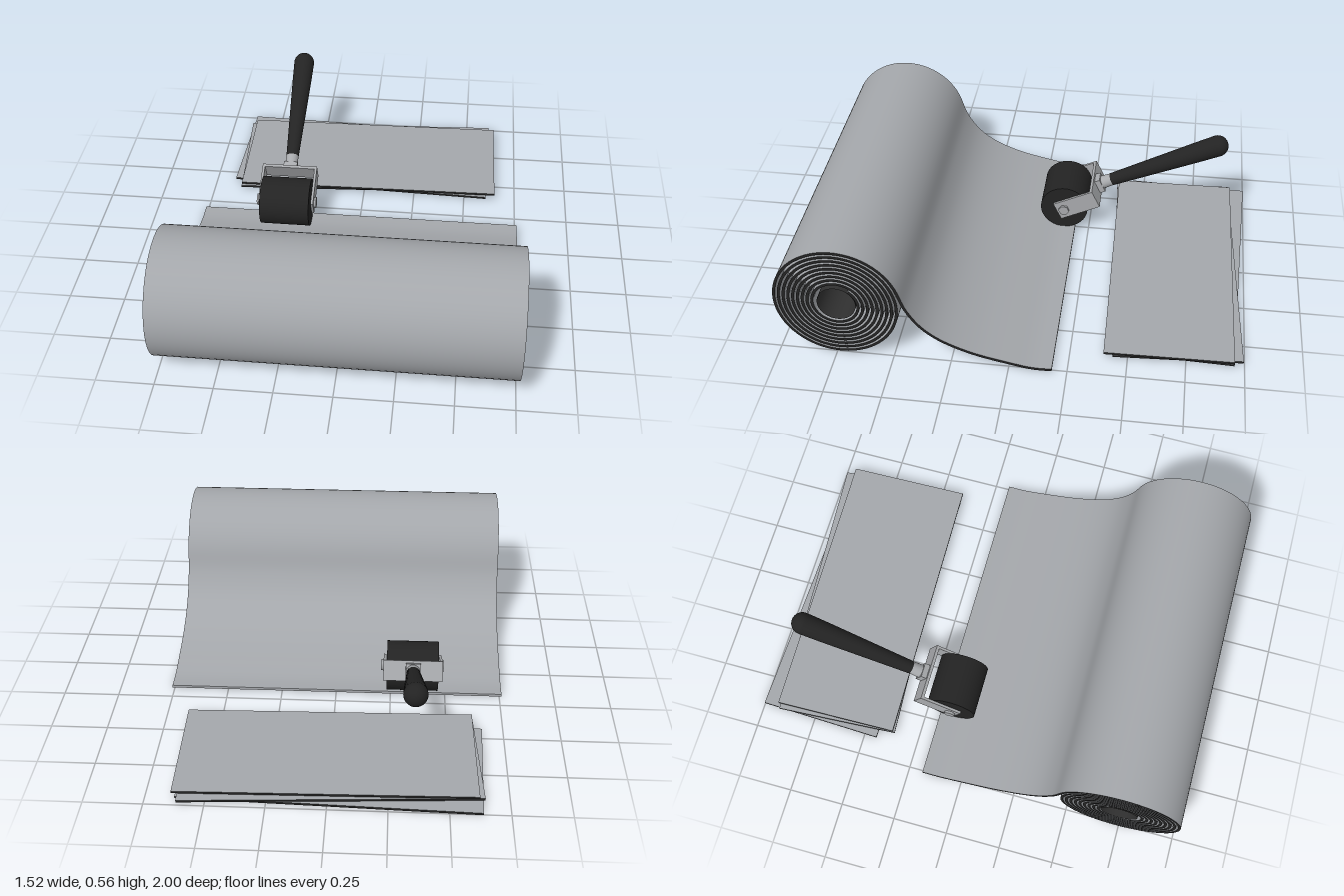
import * as THREE from 'three';
import { toCreasedNormals } from 'three/addons/utils/BufferGeometryUtils.js';

const material = (name, color, extra = {}) => {
  const m = new THREE.MeshStandardMaterial({ color, ...extra });
  m.name = name;
  return m;
};

export function createModel() {
  const grey = material('sheet grey', 0xa4a7ab);
  const dark = material('sheet backing', 0x242424);
  const lining = material('roll lining', 0x303030, { side: THREE.DoubleSide });
  const metal = material('tool metal', 0xa8aaad);
  const rubber = material('black rubber', 0x232323);

  const model = new THREE.Group();
  model.name = 'membraneRollAndTool';

  const add = (parent, name, geometry, mat, x = 0, y = 0, z = 0) => {
    const mesh = new THREE.Mesh(geometry, mat);
    mesh.name = name;
    mesh.position.set(x, y, z);
    parent.add(mesh);
    return mesh;
  };

  // Rolled sheet: spiral centre line running out into a flat tail
  const WIDTH = 1.52, THICK = 0.012, TURNS = 9.1, PITCH = 0.0205, STEPS = 64;
  const centre = new THREE.Vector2(-0.728, 0.28);
  const path = [];
  const count = Math.round(TURNS * STEPS);
  for (let i = count; i >= 0; i--) {
    const turn = i / STEPS;
    const a = 0.3 + turn * Math.PI * 2;
    const r = 0.277 - PITCH * turn;
    path.push(new THREE.Vector2(centre.x + r * Math.cos(a), centre.y + r * Math.sin(a)));
  }
  const tail = new THREE.SplineCurve([
    path[path.length - 1].clone(),
    ...[[-0.432, 0.275], [-0.37, 0.185], [-0.28, 0.117], [-0.15, 0.063],
      [0, 0.027], [0.1, 0.009], [0.185, 0.009]].map(p => new THREE.Vector2(...p)),
  ]);
  path.push(...tail.getSpacedPoints(40).slice(1));

  // Offset the line to both sides for the sheet's thickness
  const offset = side => path.map((p, i) => {
    const t = path[Math.min(i + 1, path.length - 1)].clone().sub(path[Math.max(i - 1, 0)]).normalize();
    return new THREE.Vector2(p.x - t.y * side * THICK / 2, p.y + t.x * side * THICK / 2);
  });
  const outline = new THREE.Shape([...offset(-1), ...offset(1).reverse()]);
  const rollGeometry = toCreasedNormals(
    new THREE.ExtrudeGeometry(outline, { depth: WIDTH, bevelEnabled: false }), 0.7);
  rollGeometry.rotateY(Math.PI / 2);
  add(model, 'rolledSheet', rollGeometry, [dark, grey], -WIDTH / 2);

  // Dark lining of the roll's hollow centre
  const core = new THREE.CylinderGeometry(0.083, 0.083, WIDTH, 48, 1, true);
  core.rotateZ(Math.PI / 2);
  add(model, 'rollLining', core, lining, 0, centre.y, -centre.x);

  // Loose pile of cut sheets, grey on top and dark below
  const pile = new THREE.Group();
  pile.name = 'cutSheets';
  model.add(pile);
  [[-0.015, 0.005, -0.7, -0.035],
    [0, 0.0155, -0.68, 0.057],
    [0.013, 0.03, -0.665, 0.018]].forEach(([x, y, z, turn], i) => {
    const sheet = add(pile, `cutSheet${i + 1}`, new THREE.BoxGeometry(1.265, 0.01, 0.56),
      [dark, dark, grey, dark, dark, dark], x, y, z);
    sheet.rotation.y = turn;
  });

  // Hand roller, built along local +y from the wheel's axle
  const tool = new THREE.Group();
  tool.name = 'handRoller';
  tool.position.set(-0.348, 0.125, -0.13);
  tool.rotation.x = -THREE.MathUtils.degToRad(64);
  model.add(tool);

  const acrossX = (radius, length, sides = 48) =>
    new THREE.CylinderGeometry(radius, radius, length, sides).rotateZ(Math.PI / 2);
  add(tool, 'rollerWheel', acrossX(0.113, 0.234), rubber);
  add(tool, 'axle', acrossX(0.016, 0.275, 20), metal);

  // Fork: two side plates, axle nuts and a bridge
  for (const side of [-1, 1]) {
    add(tool, 'forkPlate', new THREE.BoxGeometry(0.012, 0.2, 0.092), metal, side * 0.126, 0.065);
    add(tool, 'axleNut', acrossX(0.026, 0.014, 6), metal, side * 0.136);
  }
  add(tool, 'forkBridge', new THREE.BoxGeometry(0.264, 0.014, 0.092), metal, 0, 0.162);

  // Neck and handle
  add(tool, 'neckBlock', new THREE.BoxGeometry(0.066, 0.03, 0.07), metal, 0, 0.18);
  add(tool, 'ferrule', new THREE.CylinderGeometry(0.029, 0.032, 0.07, 28), metal, 0, 0.21);
  const profile = [[0, 0.235], [0.026, 0.235], [0.03, 0.245], [0.038, 0.45], [0.047, 0.68], [0.05, 0.785]]
    .map(p => new THREE.Vector2(...p));
  for (let i = 1; i <= 10; i++) {
    const a = i / 10 * Math.PI / 2;
    profile.push(new THREE.Vector2(Math.max(0, 0.05 * Math.cos(a)), 0.785 + 0.05 * Math.sin(a)));
  }
  add(tool, 'handle', new THREE.LatheGeometry(profile, 32), rubber);

  return model;
}
